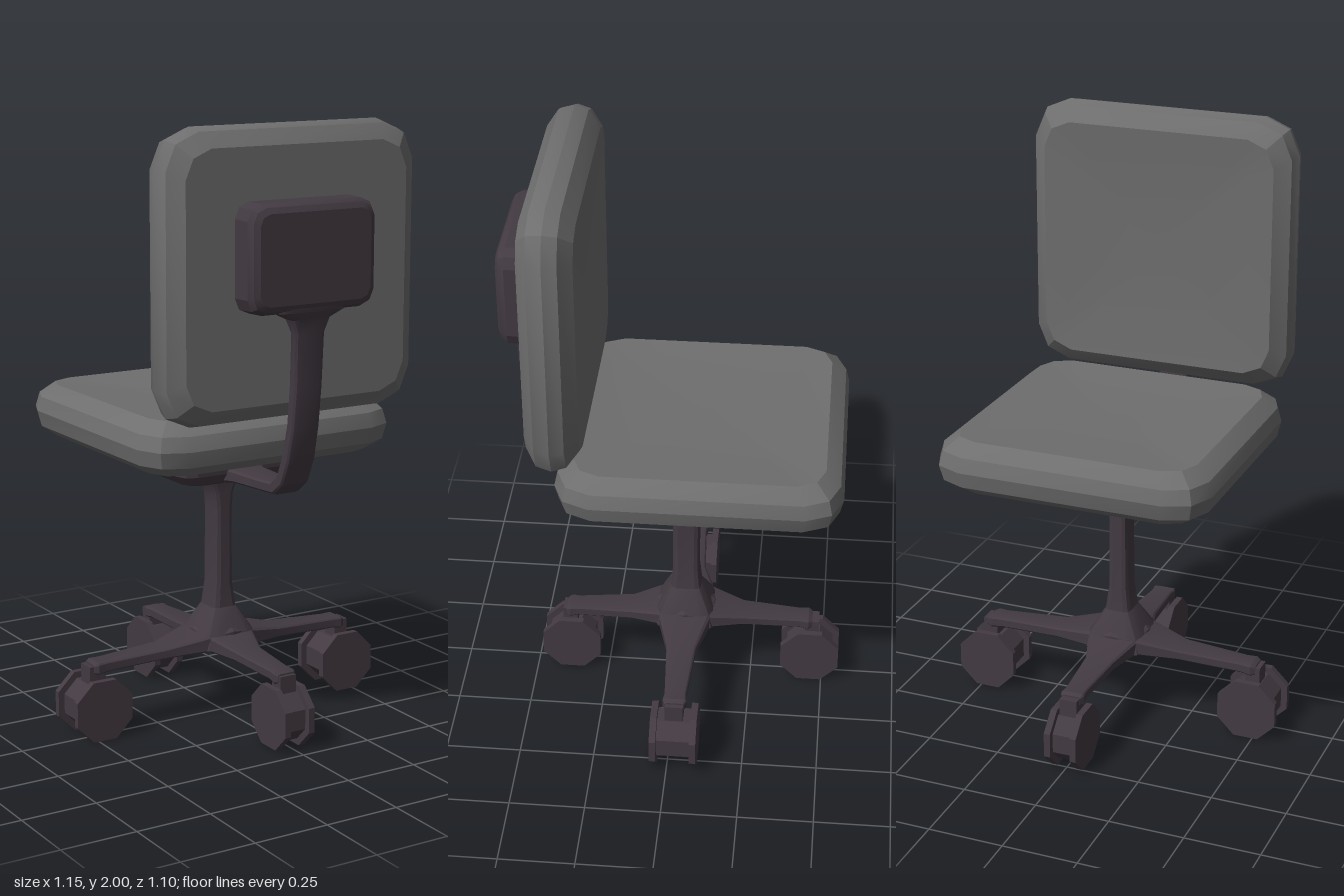
import * as THREE from 'three';
import { toCreasedNormals } from 'three/addons/utils/BufferGeometryUtils.js';

const fabric = new THREE.MeshStandardMaterial({ color: 0x6e6e6e });
fabric.name = 'grey fabric';
const frame = new THREE.MeshStandardMaterial({ color: 0x433a42 });
frame.name = 'dark frame';

// Rectangle outline with softened corners, counter-clockwise
function outline(w, h, c) {
  const k = c * 0.3;
  const corner = [[w, h - c], [w - k, h - k], [w - c, h]];
  const flip = (sx, sy, rev) => {
    const pts = corner.map(([x, y]) => [x * sx, y * sy]);
    return rev ? pts.reverse() : pts;
  };
  return [...flip(1, 1), ...flip(-1, 1, true), ...flip(-1, -1), ...flip(1, -1, true)];
}

// Skin a list of rings, closing both ends with fans
function loft(rings, crease = 0.4) {
  const n = rings[0].length, pos = [], idx = [];
  rings.forEach(r => r.forEach(p => pos.push(...p)));
  for (let i = 0; i < rings.length - 1; i++) {
    for (let j = 0; j < n; j++) {
      const a = i * n + j, b = i * n + (j + 1) % n;
      idx.push(a, b, b + n, a, b + n, a + n);
    }
  }
  [0, rings.length - 1].forEach((ri, end) => {
    const c = pos.length / 3, o = ri * n;
    pos.push(...[0, 1, 2].map(k => rings[ri].reduce((s, p) => s + p[k], 0) / n));
    for (let j = 0; j < n; j++) {
      const a = o + j, b = o + (j + 1) % n;
      if (end) idx.push(c, a, b);
      else idx.push(c, b, a);
    }
  });
  const g = new THREE.BufferGeometry();
  g.setAttribute('position', new THREE.Float32BufferAttribute(pos, 3));
  g.setIndex(idx);
  return toCreasedNormals(g, crease);
}

// Stack of soft rectangles along z: [z, halfWidth, halfHeight, corner]
const stack = rows => loft(rows.map(([z, w, h, c]) => outline(w, h, c).map(([x, y]) => [x, y, z])));

// Padded cushion, dished on its +z face
function cushion(w, h, t) {
  const rows = [[0, 0.06], [0.035, 0.012], [t / 2, 0], [t - 0.04, 0.012], [t, 0.06],
    [t - 0.006, 0.14], [t - 0.013, 0.26], [t - 0.016, 0.36]];
  return stack(rows.map(([z, i]) => [z, w - i, h - i, Math.max(0.03, 0.12 - i * 0.5)]));
}

function add(parent, name, geometry, material, x = 0, y = 0, z = 0) {
  const m = new THREE.Mesh(geometry, material);
  m.name = name;
  m.position.set(x, y, z);
  parent.add(m);
  return m;
}

// Caster: wide body, two octagonal discs and a stem; axle along z
function caster(width) {
  const g = new THREE.Group();
  g.name = 'caster';
  const wheel = (r, w) => toCreasedNormals(
    new THREE.CylinderGeometry(r, r, w, 8).rotateY(Math.PI / 8).rotateX(Math.PI / 2), 0.3);
  add(g, 'wheelBody', wheel(0.086, width - 0.02), frame, 0, 0.102, 0);
  for (const s of [-1, 1]) {
    add(g, 'wheelDisc', wheel(0.109, 0.022), frame, 0, 0.102, s * (width / 2 - 0.011));
  }
  add(g, 'stem', new THREE.BoxGeometry(0.05, 0.07, 0.06), frame, 0.005, 0.205, 0);
  return g;
}

// Base arm running along +x: [fraction of length, top, bottom, half width]
function baseArm(length) {
  const rows = [[0, 0.31, 0.235, 0.1], [0.2, 0.29, 0.23, 0.085], [0.45, 0.262, 0.225, 0.05],
    [0.9, 0.252, 0.215, 0.036], [0.97, 0.252, 0.21, 0.04], [1, 0.245, 0.215, 0.032]];
  return loft(rows.map(([f, top, bot, hw]) => outline(1, 1, 0.35).map(([u, v]) =>
    [f * length, (top + bot) / 2 + u * (top - bot) / 2, v * hw])));
}

export function createModel() {
  const chair = new THREE.Group();
  chair.name = 'officeChair';
  const cz = -0.022;

  // Seat and backrest cushions
  add(chair, 'seat', cushion(0.46, 0.459, 0.175), fabric, 0, 0.92, -0.088).rotation.x = -Math.PI / 2;
  add(chair, 'backrest', cushion(0.46, 0.457, 0.17), fabric, 0, 1.543, 0.45).rotation.y = Math.PI;

  // Plate behind the backrest
  add(chair, 'backPlate', stack([[0, 0.23, 0.17, 0.05], [0.075, 0.228, 0.168, 0.05],
    [0.095, 0.218, 0.158, 0.045], [0.105, 0.2, 0.14, 0.035]]), frame, 0, 1.607, 0.443);

  // Curved strap: [outer z, outer y, inner z, inner y, half width]
  const path = [[0.1, 0.822, 0.1, 0.885, 0.085], [0.17, 0.83, 0.17, 0.875, 0.06],
    [0.3, 0.835, 0.3, 0.875, 0.052], [0.39, 0.84, 0.37, 0.88, 0.052], [0.44, 0.88, 0.405, 0.905, 0.052],
    [0.475, 0.96, 0.435, 0.975, 0.052], [0.5, 1.07, 0.46, 1.08, 0.05], [0.515, 1.2, 0.472, 1.2, 0.05],
    [0.522, 1.37, 0.482, 1.37, 0.052], [0.528, 1.415, 0.475, 1.415, 0.07],
    [0.54, 1.44, 0.46, 1.44, 0.12], [0.543, 1.5, 0.455, 1.5, 0.14]];
  add(chair, 'backStrap', loft(path.map(([zo, yo, zi, yi, hw]) => outline(1, 1, 0.4).map(([u, v]) => {
    const t = (v + 1) / 2;
    return [u * hw, yo + (yi - yo) * t, zo + (zi - zo) * t];
  }))), frame);

  // Mechanism box under the seat
  add(chair, 'seatMount', stack([[0.815, 0.15, 0.11, 0.03], [0.83, 0.205, 0.15, 0.04],
    [0.86, 0.228, 0.168, 0.05], [0.93, 0.23, 0.17, 0.05]]), frame, 0, 0, cz).rotation.x = -Math.PI / 2;

  // Column flaring into the base and the mount
  add(chair, 'column', stack([[0.24, 0.11, 0.11, 0.06], [0.29, 0.095, 0.095, 0.04], [0.37, 0.045, 0.052, 0.02],
    [0.45, 0.035, 0.045, 0.018], [0.7, 0.032, 0.045, 0.016], [0.76, 0.037, 0.045, 0.016],
    [0.8, 0.053, 0.046, 0.018], [0.83, 0.075, 0.05, 0.02]]), frame, 0, 0, cz).rotation.x = -Math.PI / 2;

  // Four arms with casters: [angle, arm length, caster distance, caster width]
  const legs = [[0, 0.49, 0.476, 0.155], [Math.PI, 0.49, 0.476, 0.155],
    [-Math.PI / 2, 0.418, 0.4, 0.112], [Math.PI / 2, 0.44, 0.434, 0.112]];
  for (const [angle, length, dist, width] of legs) {
    const leg = new THREE.Group();
    leg.name = 'baseLeg';
    leg.position.z = cz;
    leg.rotation.y = angle;
    add(leg, 'baseArm', baseArm(length), frame);
    const c = caster(width);
    c.position.x = dist;
    leg.add(c);
    chair.add(leg);
  }
  return chair;
}
